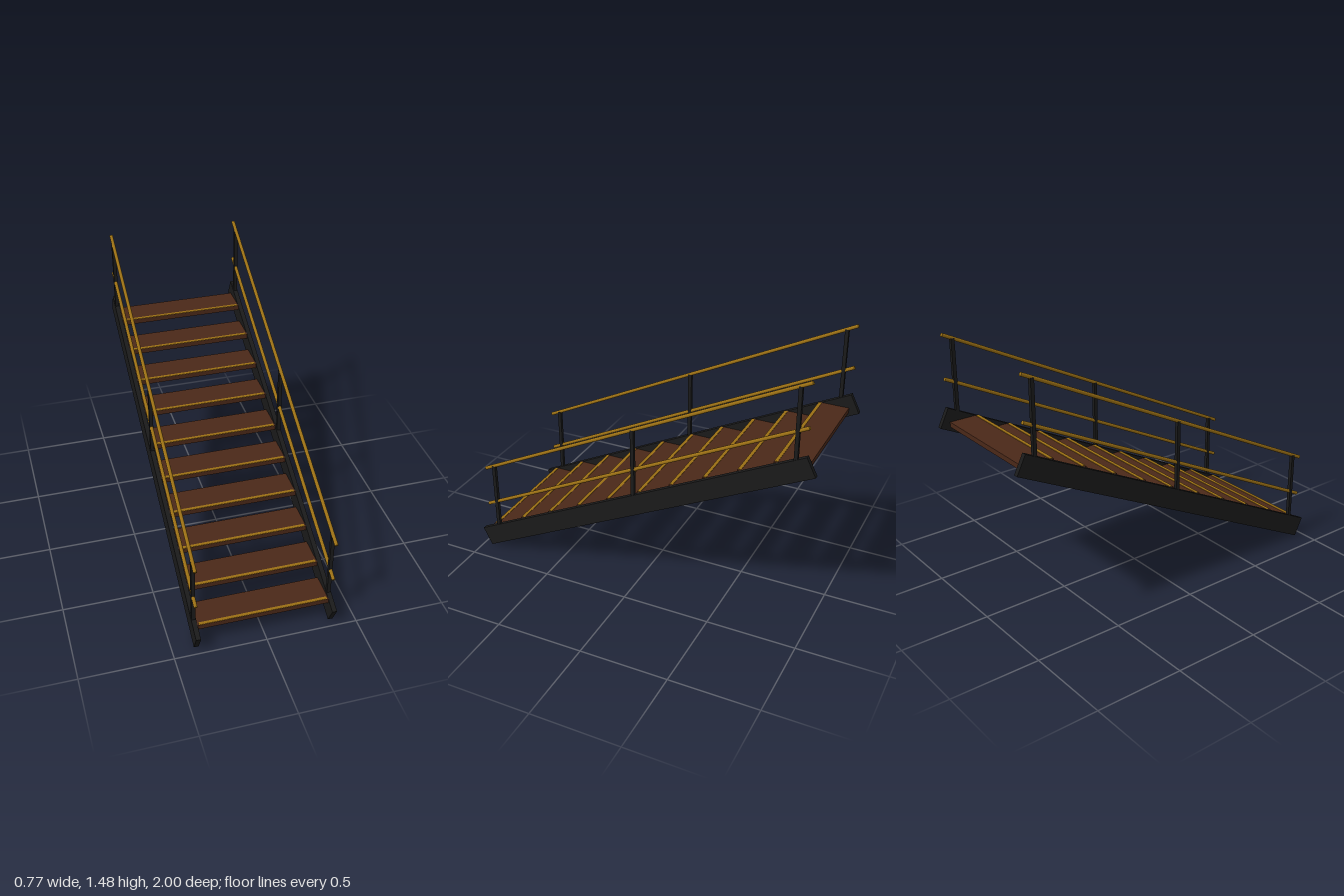
import * as THREE from 'three';

const steel = new THREE.MeshStandardMaterial({ color: 0x1a1a1a });
const wood = new THREE.MeshStandardMaterial({ color: 0x4a2818 });
const brass = new THREE.MeshStandardMaterial({ color: 0x9a6f14 });

const SLOPE = Math.atan2(0.97, 1.95);
const MID_Y = 0.538; // stringer height at the middle of the flight
const RAIL_Y = 0.998; // handrail height at the middle of the flight
const SIDE_X = 0.371;
const riseAt = (z) => -z * Math.tan(SLOPE);

function add(parent, name, geometry, material, x, y, z) {
  const mesh = new THREE.Mesh(geometry, material);
  mesh.name = name;
  mesh.position.set(x, y, z);
  parent.add(mesh);
  return mesh;
}

export function createModel() {
  const model = new THREE.Group();
  model.name = 'staircase';

  // Open treads, each with a thin nosing strip along its front edge
  const treadGeo = new THREE.BoxGeometry(0.72, 0.028, 0.17);
  const nosingGeo = new THREE.BoxGeometry(0.7, 0.006, 0.018);
  for (let i = 0; i < 10; i++) {
    const step = new THREE.Group();
    step.name = `step${i + 1}`;
    step.position.set(0, 0.126 + i * 0.095, 0.852 - i * 0.1902);
    add(step, 'tread', treadGeo, wood, 0, 0, 0);
    add(step, 'nosing', nosingGeo, brass, 0, 0.0135, 0.075);
    model.add(step);
  }

  // Each side: sloping stringer, upright posts and two parallel rails
  const stringerGeo = new THREE.BoxGeometry(0.026, 0.115, 2.18);
  const railGeo = new THREE.CylinderGeometry(0.01, 0.01, 1.9 / Math.cos(SLOPE), 12);
  railGeo.rotateX(Math.PI / 2);
  for (const [side, sign] of [['left', 1], ['right', -1]]) {
    const x = sign * SIDE_X;
    add(model, `${side}Stringer`, stringerGeo, steel, x, MID_Y, 0).rotation.x = SLOPE;
    add(model, `${side}Handrail`, railGeo, brass, x, RAIL_Y, 0).rotation.x = SLOPE;
    add(model, `${side}MidRail`, railGeo, brass, x, 0.759, 0).rotation.x = SLOPE;

    const postHeight = RAIL_Y - MID_Y;
    const postGeo = new THREE.BoxGeometry(0.02, postHeight, 0.02);
    for (const z of [0.893, 0, -0.893]) {
      add(model, `${side}Post`, postGeo, steel, x, MID_Y + postHeight / 2 + riseAt(z), z);
    }
  }
  return model;
}
